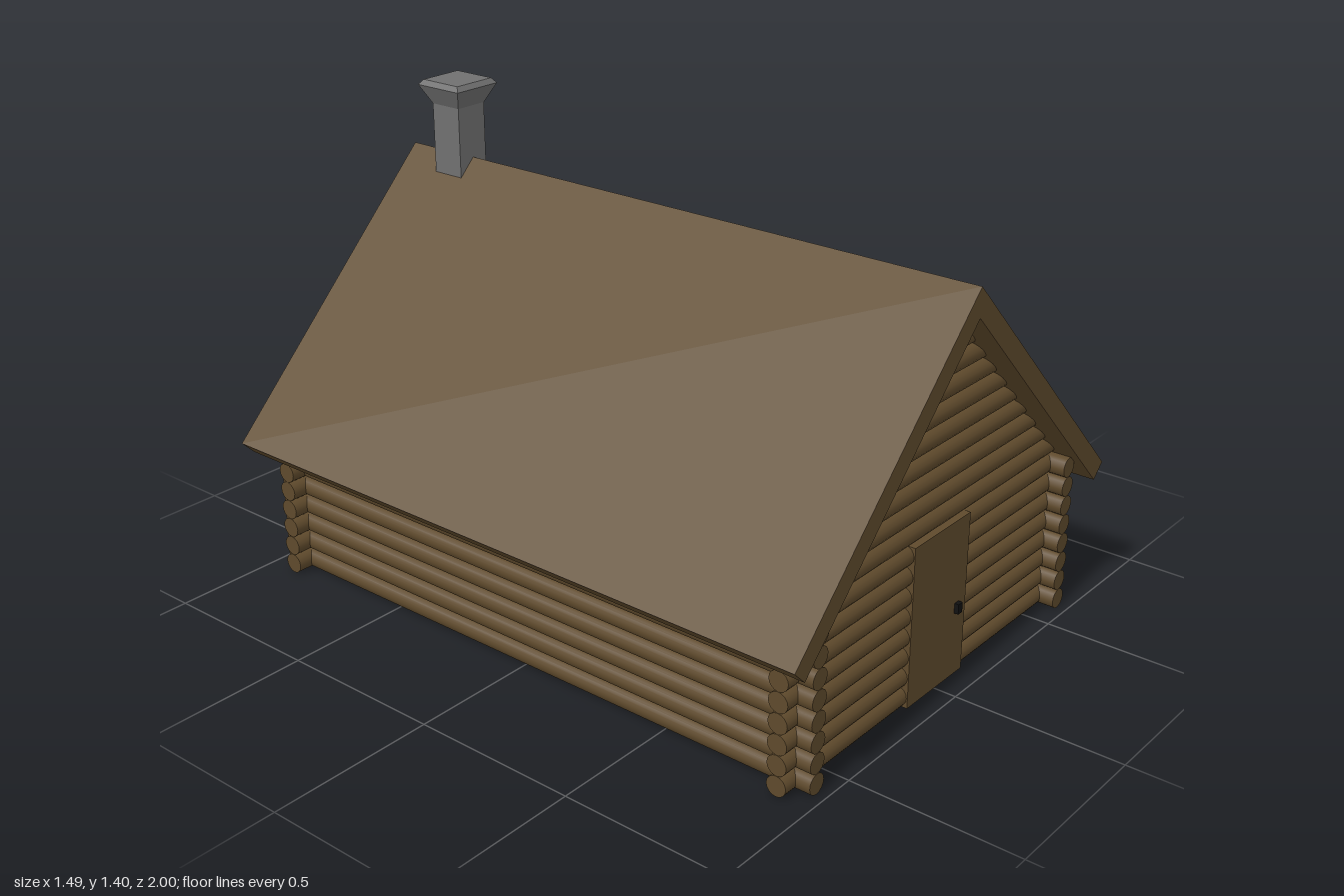
import * as THREE from 'three';

const wood = new THREE.MeshStandardMaterial({ color: 0x5f4a2c });
const stone = new THREE.MeshStandardMaterial({ color: 0x707070 });
stone.flatShading = true;
const iron = new THREE.MeshStandardMaterial({ color: 0x111111 });

const R = 0.03;        // log radius
const WALL_ROWS = 8;   // rows below the gable
const GABLE_ROWS = 10;
const WALL_X = 0.6, WALL_Z = 0.9;

function add(parent, name, geometry, material, x = 0, y = 0, z = 0) {
  const mesh = new THREE.Mesh(geometry, material);
  mesh.name = name;
  mesh.position.set(x, y, z);
  parent.add(mesh);
  return mesh;
}

// One horizontal log, lying along x or z
function addLog(parent, name, length, axis, x, y, z) {
  const log = add(parent, name, new THREE.CylinderGeometry(R, R, length, 16), wood, x, y, z);
  if (axis === 'x') log.rotation.z = Math.PI / 2;
  else log.rotation.x = Math.PI / 2;
}

export function createModel() {
  const cabin = new THREE.Group();
  cabin.name = 'logCabin';

  // Log walls, crossing at the corners, with stepped logs filling the gables
  const walls = new THREE.Group();
  walls.name = 'walls';
  cabin.add(walls);
  for (const s of [-1, 1]) {
    for (let i = 0; i < WALL_ROWS + GABLE_ROWS; i++) {
      const y = R + i * 2 * R;
      if (i < WALL_ROWS) {
        addLog(walls, 'endWallLog', 1.344, 'x', 0, y, s * WALL_Z);
        addLog(walls, 'sideWallLog', 1.944, 'z', s * WALL_X, y, 0);
      } else {
        addLog(walls, 'gableLog', 2 * (1.12 - y), 'x', 0, y, s * WALL_Z);
      }
    }
  }

  // Floor slab
  add(cabin, 'floor', new THREE.BoxGeometry(2 * WALL_X, 0.02, 2 * WALL_Z), wood, 0, 0.011, 0);

  // Pitched roof: a thick chevron run along z
  const chevron = new THREE.Shape([
    [0, 1.17], [-0.747, 0.423], [-0.705, 0.381],
    [0, 1.086], [0.705, 0.381], [0.747, 0.423],
  ].map(([x, y]) => new THREE.Vector2(x, y)));
  const roof = new THREE.ExtrudeGeometry(chevron, { depth: 2, bevelEnabled: false });
  add(cabin, 'roof', roof, wood, 0, 0, -1);

  // Door and handle
  add(cabin, 'door', new THREE.BoxGeometry(0.268, 0.478, 0.06), wood, 0, 0.24, 0.903);
  add(cabin, 'doorHandle', new THREE.BoxGeometry(0.02, 0.03, 0.02), iron, 0.09, 0.211, 0.936);

  // Square chimney with a flared cap
  const profile = [[0, 1.0], [0.053, 1.0], [0.053, 1.327], [0.082, 1.385], [0.07, 1.4], [0, 1.4]]
    .map(([half, y]) => new THREE.Vector2(half * Math.SQRT2, y));
  const chimney = new THREE.LatheGeometry(profile, 4);
  chimney.rotateY(Math.PI / 4);
  add(cabin, 'chimney', chimney, stone, 0, 0, -0.805);

  return cabin;
}
